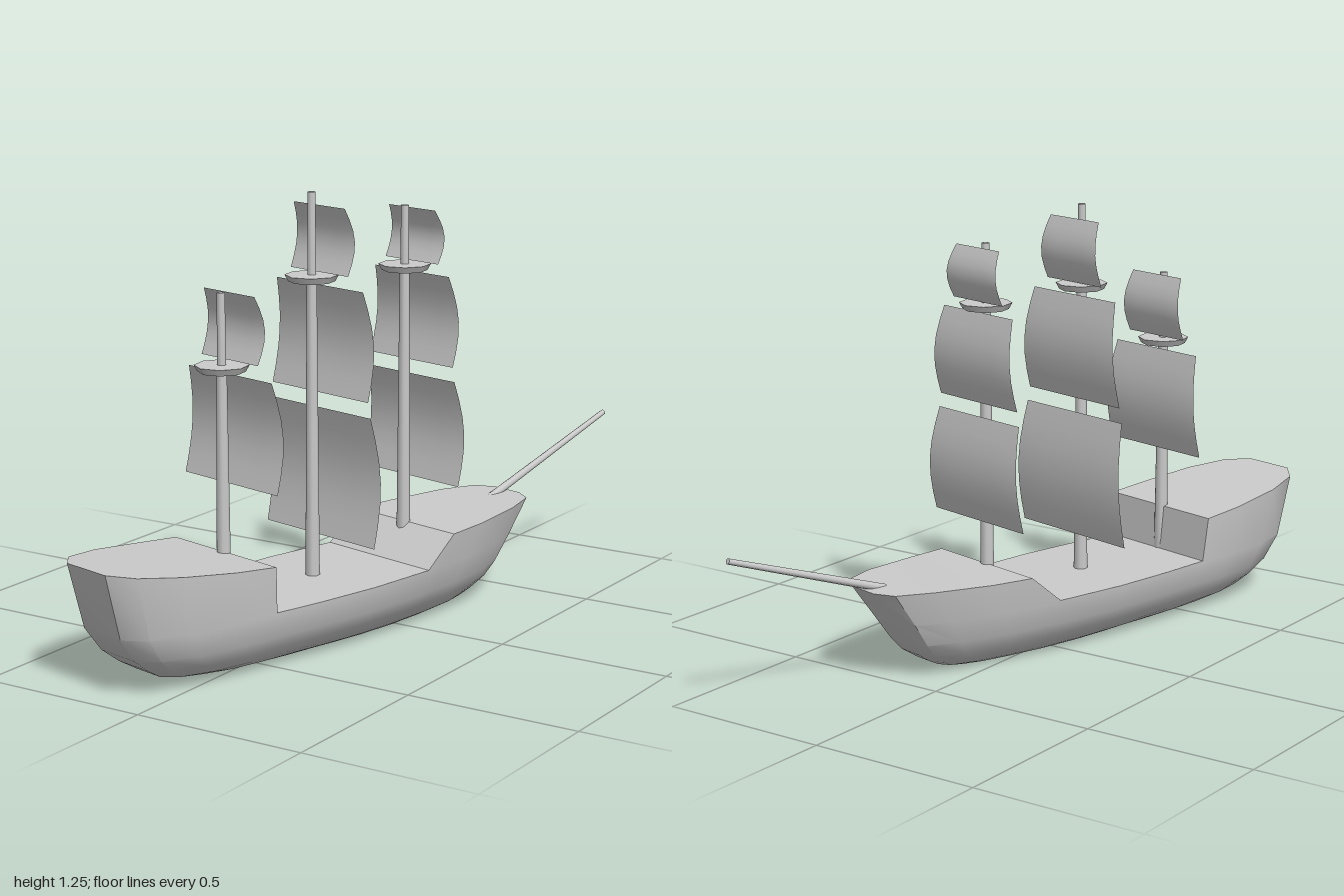
import * as THREE from 'three';
import { toCreasedNormals } from 'three/addons/utils/BufferGeometryUtils.js';

const grey = new THREE.MeshStandardMaterial({ color: 0xcccccc });
const cloth = new THREE.MeshStandardMaterial({ color: 0xcccccc, side: THREE.DoubleSide });

function add(parent, name, geometry, material = grey) {
  const mesh = new THREE.Mesh(geometry, material);
  mesh.name = name;
  parent.add(mesh);
  return mesh;
}

// Half outline from bow to stern: [half width, z, full sheer height, deck height]
const STATIONS = [
  [0.048, -0.6, 0.272, 0.272],
  [0.104, -0.57, 0.272, 0.272],
  [0.146, -0.465, 0.27, 0.27],
  [0.182, -0.29, 0.263, 0.263],
  [0.198, -0.16, 0.26, 0.26],
  [0.21, -0.09, 0.26, 0.175],
  [0.222, 0.15, 0.27, 0.175],
  [0.216, 0.35, 0.28, 0.175],
  [0.204, 0.525, 0.305, 0.175],
  [0.204, 0.525, 0.305, 0.305],
  [0.2, 0.66, 0.317, 0.317],
  [0.181, 0.825, 0.335, 0.335],
  [0.14, 0.945, 0.348, 0.348],
  [0.078, 0.998, 0.354, 0.354],
];

// Waterlines: [height, width factor, bow z, stern z]
const LEVELS = [
  [0, 0.42, -0.3, 0.55],
  [0.012, 0.52, -0.36, 0.7],
  [0.03, 0.63, -0.395, 0.8],
  [0.06, 0.76, -0.44, 0.85],
  [0.1, 0.87, -0.475, 0.9],
  [0.17, 0.95, -0.525, 0.95],
];

function hullGeometry() {
  const n = STATIONS.length;
  const rings = LEVELS.map(([y, f, z0, z1]) =>
    STATIONS.map(([w, z]) => [w * f, y, z0 + ((z + 0.6) / 1.598) * (z1 - z0)]));
  // Top edge: the flared side cut off at deck height
  const last = rings[rings.length - 1];
  rings.push(STATIONS.map(([w, z, sheer, deck], i) => {
    const [x0, y0, zz] = last[i];
    const t = (deck - y0) / (sheer - y0);
    return [x0 + (w - x0) * t, deck, zz + (z - zz) * t];
  }));

  const pos = [];
  const index = [];
  for (const ring of rings) {
    for (const p of ring) pos.push(...p);
    for (const [x, y, z] of [...ring].reverse()) pos.push(-x, y, z);
  }
  const m = 2 * n;
  for (let k = 0; k < rings.length - 1; k++) {
    for (let i = 0; i < m; i++) {
      const a = k * m + i, b = k * m + (i + 1) % m;
      index.push(a, b + m, b, a, a + m, b + m);
    }
  }
  // Decks (with the ramp and step between them) and the flat bottom
  const top = (rings.length - 1) * m;
  for (let i = 0; i < n - 1; i++) {
    const l = m - 1 - i;
    index.push(top + l, top + l - 1, top + i + 1, top + l, top + i + 1, top + i);
    index.push(l, i + 1, l - 1, l, i, i + 1);
  }
  const g = new THREE.BufferGeometry();
  g.setAttribute('position', new THREE.Float32BufferAttribute(pos, 3));
  g.setIndex(index);
  return toCreasedNormals(g, 0.65);
}

// Square sail, wider at the foot and bellied towards the bow
function sailGeometry(y0, y1, halfTop, halfFoot) {
  const g = new THREE.PlaneGeometry(2, 1, 4, 6);
  const p = g.attributes.position;
  for (let i = 0; i < p.count; i++) {
    const t = p.getY(i) + 0.5;
    const belly = Math.sin(Math.PI * t);
    const half = THREE.MathUtils.lerp(halfFoot, halfTop, t) + 0.007 * belly;
    p.setXYZ(i, p.getX(i) * half, y0 + (y1 - y0) * t, -0.028 - 0.025 * belly);
  }
  g.computeVertexNormals();
  return g;
}

function spar(parent, name, y0, y1, r0, r1) {
  add(parent, name, new THREE.CylinderGeometry(r1, r0, y1 - y0, 8)).position.y = (y0 + y1) / 2;
}

// Each sail: [foot height, head height, half width at head, half width at foot]
const MASTS = [
  { name: 'foreMast', z: -0.157, top: 1.175, platform: 1.0, sails: [
    [0.39, 0.69, 0.17, 0.188], [0.73, 0.985, 0.145, 0.163], [1.015, 1.165, 0.09, 0.103]] },
  { name: 'mainMast', z: 0.202, top: 1.247, platform: 1.012, sails: [
    [0.285, 0.648, 0.2, 0.215], [0.69, 0.99, 0.17, 0.19], [1.025, 1.208, 0.1, 0.113]] },
  { name: 'mizzenMast', z: 0.53, top: 1.013, platform: 0.81, sails: [
    [0.49, 0.79, 0.165, 0.185], [0.828, 1.01, 0.1, 0.112]] },
];

export function createModel() {
  const model = new THREE.Group();
  model.name = 'sailingShip';
  const ship = new THREE.Group();
  ship.name = 'ship';
  ship.rotation.y = -0.227;
  ship.position.set(0.0555, 0, 0.0128);
  model.add(ship);

  add(ship, 'hull', hullGeometry());

  for (const { name, z, top, platform, sails } of MASTS) {
    const mast = new THREE.Group();
    mast.name = name;
    mast.position.z = z;
    ship.add(mast);
    spar(mast, 'lowerMast', 0.165, platform, 0.02, 0.014);
    spar(mast, 'topMast', platform, top, 0.012, 0.011);
    add(mast, 'lookoutPlatform', new THREE.CylinderGeometry(0.074, 0.064, 0.018, 8)).position.y = platform;
    sails.forEach((s, i) => add(mast, 'sail' + (i + 1), sailGeometry(...s), cloth));
  }

  // Bowsprit
  const from = new THREE.Vector3(0, 0.26, -0.52), to = new THREE.Vector3(0, 0.44, -1.037);
  const dir = to.clone().sub(from);
  const bowsprit = add(ship, 'bowsprit', new THREE.CylinderGeometry(0.008, 0.012, dir.length(), 8));
  bowsprit.position.copy(from).add(to).multiplyScalar(0.5);
  bowsprit.quaternion.setFromUnitVectors(new THREE.Vector3(0, 1, 0), dir.normalize());

  return model;
}
